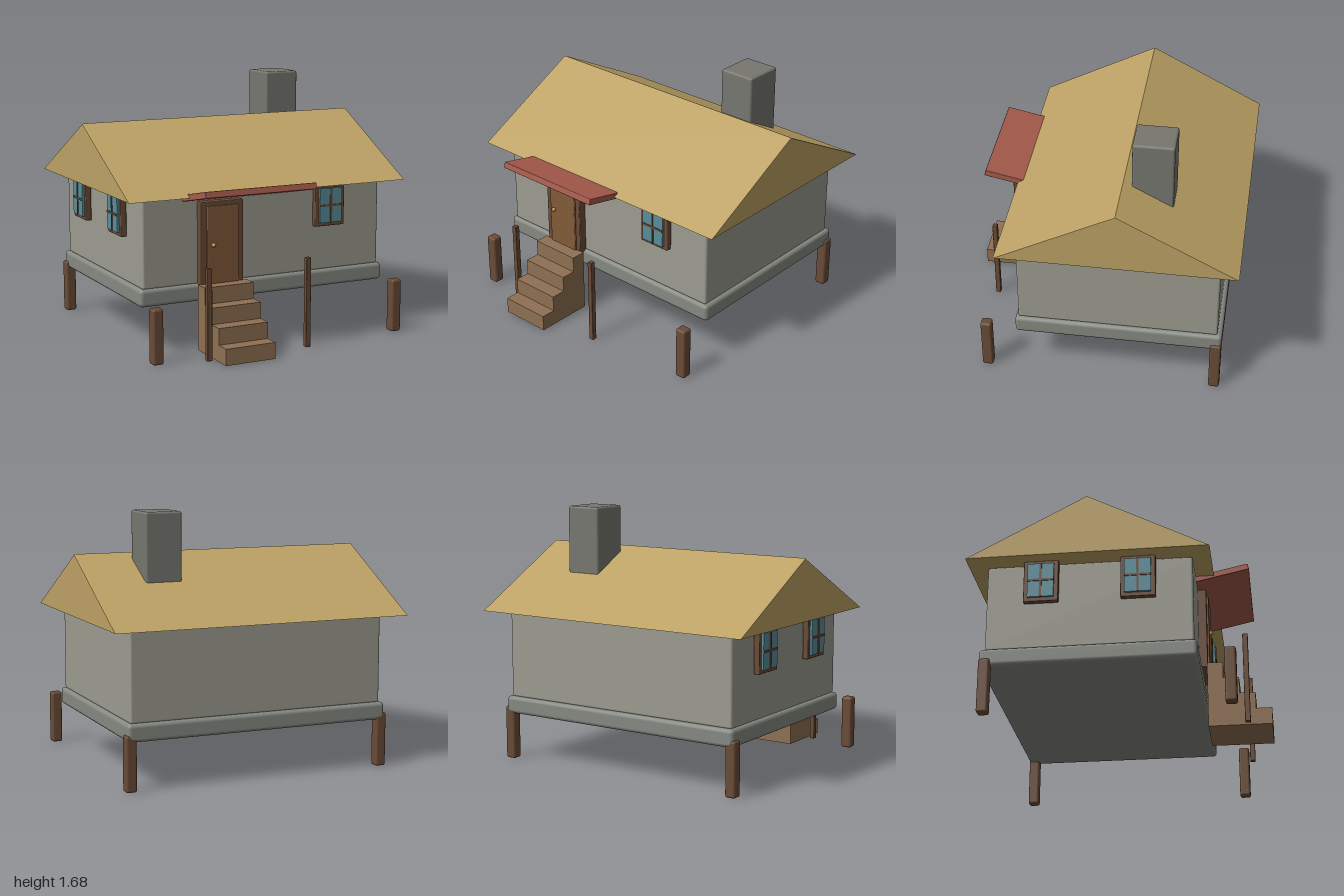
import * as THREE from 'three';
import { RoundedBoxGeometry } from 'three/addons/geometries/RoundedBoxGeometry.js';

const mat = (color) => new THREE.MeshStandardMaterial({ color });
const M = {
  wall: mat(0x9c9c91), base: mat(0x868a82), roof: mat(0xbda265), chimney: mat(0x777770),
  wood: mat(0x6a4b36), door: mat(0x835a39), step: mat(0x8f7052), glass: mat(0x5a8d9b),
  awning: mat(0xa85c4d), knob: mat(0xc09a48),
};

// Box given by its min/max extents; r > 0 softens the edges.
function box(parent, name, material, [x0, x1], [y0, y1], [z0, z1], r = 0) {
  const s = [x1 - x0, y1 - y0, z1 - z0];
  const geo = r ? new RoundedBoxGeometry(...s, 2, r) : new THREE.BoxGeometry(...s);
  const mesh = new THREE.Mesh(geo, material);
  mesh.name = name;
  mesh.position.set((x0 + x1) / 2, (y0 + y1) / 2, (z0 + z1) / 2);
  parent.add(mesh);
  return mesh;
}

// Four-pane window, back at z = 0, facing +z.
function makeWindow() {
  const g = new THREE.Group();
  g.name = 'window';
  box(g, 'windowFrame', M.wood, [-0.11, 0.11], [-0.14, 0.14], [0, 0.04], 0.006);
  box(g, 'windowPane', M.glass, [-0.083, 0.083], [-0.115, 0.115], [0.03, 0.055]);
  box(g, 'windowBarUpright', M.wood, [-0.007, 0.007], [-0.115, 0.115], [0.03, 0.06]);
  box(g, 'windowBarLevel', M.wood, [-0.083, 0.083], [-0.007, 0.007], [0.03, 0.06]);
  return g;
}

export function createModel() {
  const house = new THREE.Group();
  house.name = 'house';

  // Body
  box(house, 'foundation', M.base, [-0.89, 0.89], [0.31, 0.425], [-0.84, 0.51], 0.025);
  box(house, 'walls', M.wall, [-0.865, 0.865], [0.42, 1.0], [-0.81, 0.49], 0.015);
  box(house, 'chimney', M.chimney, [0.387, 0.632], [1.05, 1.682], [-0.48, -0.215], 0.015);

  // Gable roof: triangle swept along x with slightly bevelled ends
  const gable = new THREE.Shape([
    new THREE.Vector2(-0.6, 1.003), new THREE.Vector2(0.925, 1.003), new THREE.Vector2(0.163, 1.403),
  ]);
  const roofGeo = new THREE.ExtrudeGeometry(gable, {
    depth: 1.98, bevelThickness: 0.008, bevelSize: 0.003, bevelSegments: 1,
  });
  roofGeo.translate(0, 0, -0.99).rotateY(Math.PI / 2);
  const roof = new THREE.Mesh(roofGeo, M.roof);
  roof.name = 'roof';
  house.add(roof);

  // Corner posts
  for (const x of [-0.87, 0.868]) {
    for (const z of [0.705, -0.803]) {
      box(house, 'cornerPost', M.wood, [x - 0.036, x + 0.036], [0, 0.355], [z - 0.036, z + 0.036], 0.015);
    }
  }

  // Door
  box(house, 'doorFrame', M.wood, [-0.485, -0.185], [0.41, 0.957], [0.48, 0.545], 0.006);
  box(house, 'door', M.door, [-0.446, -0.22], [0.425, 0.928], [0.5, 0.557], 0.006);
  const knob = new THREE.Mesh(new THREE.SphereGeometry(0.014, 16, 12), M.knob);
  knob.name = 'doorKnob';
  knob.position.set(-0.406, 0.68, 0.566);
  house.add(knob);

  // Porch: tilted awning, two slim posts, four solid steps
  const awning = box(house, 'awning', M.awning, [-0.588, 0.192], [0.995, 1.037], [0.45, 0.83], 0.005);
  awning.position.set(-0.198, 1.016, 0.64);
  awning.rotation.x = -0.21;
  for (const x of [-0.55, 0.153]) {
    box(house, 'porchPost', M.wood, [x - 0.017, x + 0.017], [0, 0.59], [0.77, 0.804], 0.004);
  }
  for (let i = 0; i < 4; i++) {
    box(house, 'step', M.step, [-0.506, -0.16], [0, 0.107 * (i + 1)], [0.838 - 0.099 * i, 0.937 - 0.099 * i]);
  }

  // Windows: one in front, two on the right wall
  const front = makeWindow();
  front.position.set(0.466, 0.862, 0.49);
  house.add(front);
  for (const z of [-0.46, 0.15]) {
    const side = makeWindow();
    side.position.set(-0.872, 0.862, z);
    side.rotation.y = -Math.PI / 2;
    house.add(side);
  }
  return house;
}
